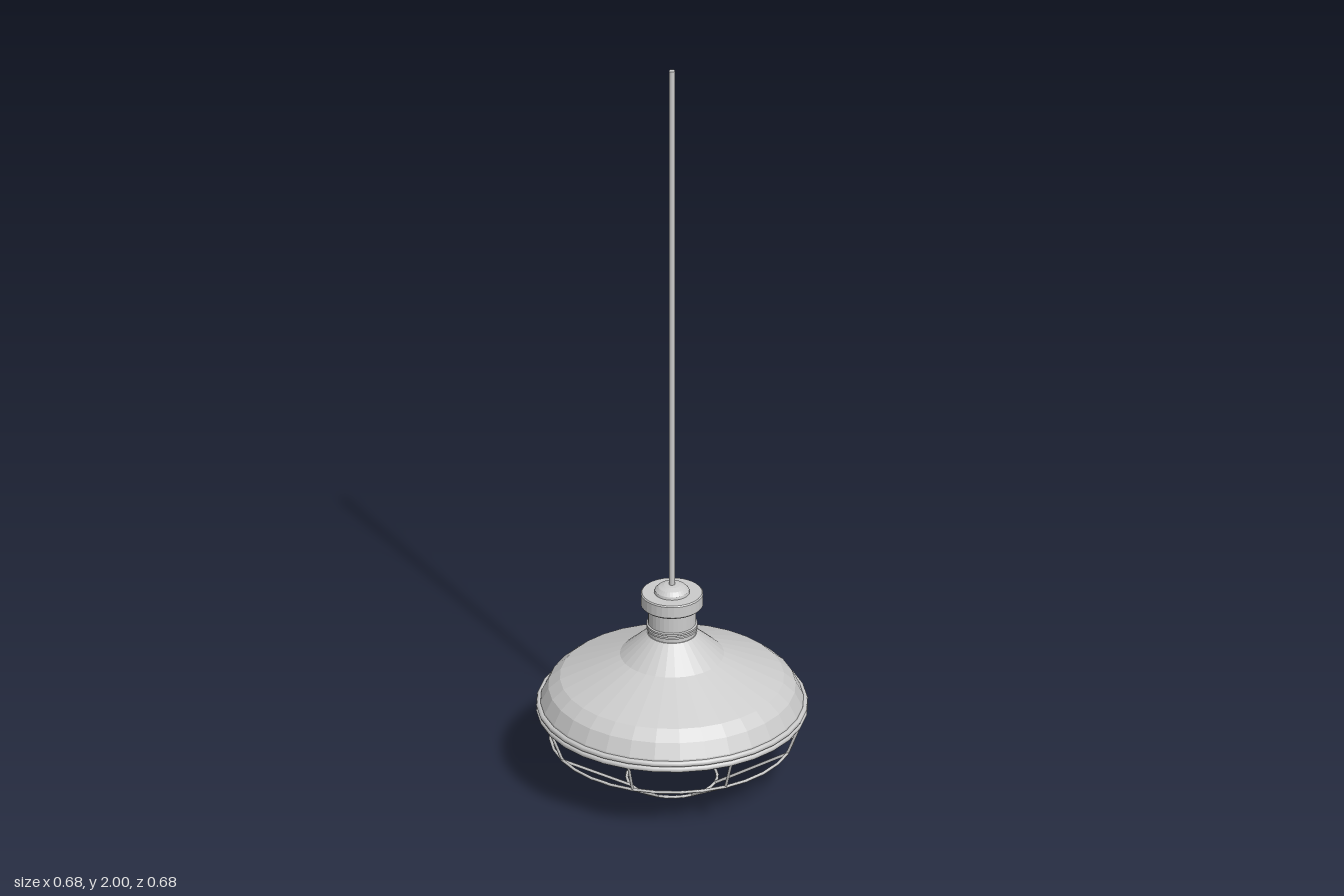
import * as THREE from 'three';

const SEGMENTS = 32;

export function createModel() {
  const model = new THREE.Group();
  model.name = 'pendantLamp';
  const smooth = new THREE.MeshStandardMaterial({ color: 0xcccccc, side: THREE.DoubleSide });
  const faceted = new THREE.MeshStandardMaterial({ color: 0xcccccc, side: THREE.DoubleSide, flatShading: true });

  const add = (name, geometry, material = faceted, parent = model) => {
    const mesh = new THREE.Mesh(geometry, material);
    mesh.name = name;
    parent.add(mesh);
    return mesh;
  };
  // Profiles are [radius, height] pairs, listed from bottom to top
  const lathe = (name, points, material, segments = SEGMENTS) =>
    add(name, new THREE.LatheGeometry(points.map(([r, y]) => new THREE.Vector2(r, y)), segments), material);

  // Cord and the stepped cap that holds it
  add('cord', new THREE.CylinderGeometry(0.0075, 0.0075, 1.46, 12), smooth).position.y = 1.27;
  lathe('cordDome', [[0.045, 0.522], [0.043, 0.532], [0.034, 0.541], [0.02, 0.546], [0, 0.548]]);
  lathe('cap', [[0, 0.488], [0.074, 0.488], [0.078, 0.492], [0.078, 0.522], [0.075, 0.525], [0, 0.525]]);

  // Neck with two narrow bands at its foot
  lathe('neck', [[0.06, 0.405], [0.06, 0.422], [0.064, 0.424], [0.064, 0.429], [0.06, 0.431],
    [0.064, 0.433], [0.064, 0.438], [0.06, 0.44], [0.06, 0.49]]);

  // Thin bell shade, inner skin followed by outer skin
  const outer = [[0.333, 0.205], [0.328, 0.225], [0.309, 0.262], [0.28, 0.287], [0.13, 0.352], [0.062, 0.412]];
  const inner = outer.map(([r, y]) => [r - 0.005, y - 0.004]).reverse();
  lathe('shade', [[0, 0.408], ...inner, ...outer, [0, 0.412]]);

  // Double rolled rim
  for (const y of [0.2, 0.215]) {
    const rim = add('rim', new THREE.TorusGeometry(0.332, 0.0075, 8, SEGMENTS), smooth);
    rim.rotation.x = Math.PI / 2;
    rim.position.y = y;
  }

  // Globe bulb tapering into its socket
  const globe = [];
  for (let i = 0; i <= 11; i++) {
    const a = -Math.PI / 2 + (i / 11) * 2.3;
    globe.push([Math.max(0, 0.152 * Math.cos(a)), 0.206 + 0.152 * Math.sin(a)]);
  }
  lathe('bulb', [...globe, [0.065, 0.335], [0.045, 0.36], [0.045, 0.39]]);
  lathe('socket', [[0.045, 0.35], [0.055, 0.35], [0.055, 0.408]]);

  // Wire guard: two hoops and eight bent ribs
  const guard = new THREE.Group();
  guard.name = 'guard';
  model.add(guard);
  const wire = 0.004;
  for (const [r, y] of [[0.304, 0.12], [0.113, 0.005]]) {
    const hoop = add('guardHoop', new THREE.TorusGeometry(r, wire, 6, SEGMENTS), smooth, guard);
    hoop.rotation.x = Math.PI / 2;
    hoop.position.y = y;
  }
  const ribPath = new THREE.CurvePath();
  const bends = [[0.335, 0.2], [0.304, 0.12], [0.113, 0.005]].map(([r, y]) => new THREE.Vector3(r, y, 0));
  ribPath.add(new THREE.LineCurve3(bends[0], bends[1]));
  ribPath.add(new THREE.LineCurve3(bends[1], bends[2]));
  const ribGeometry = new THREE.TubeGeometry(ribPath, 24, wire, 6);
  for (let i = 0; i < 8; i++) {
    add('guardRib', ribGeometry, smooth, guard).rotation.y = (i * Math.PI) / 4;
  }

  return model;
}
